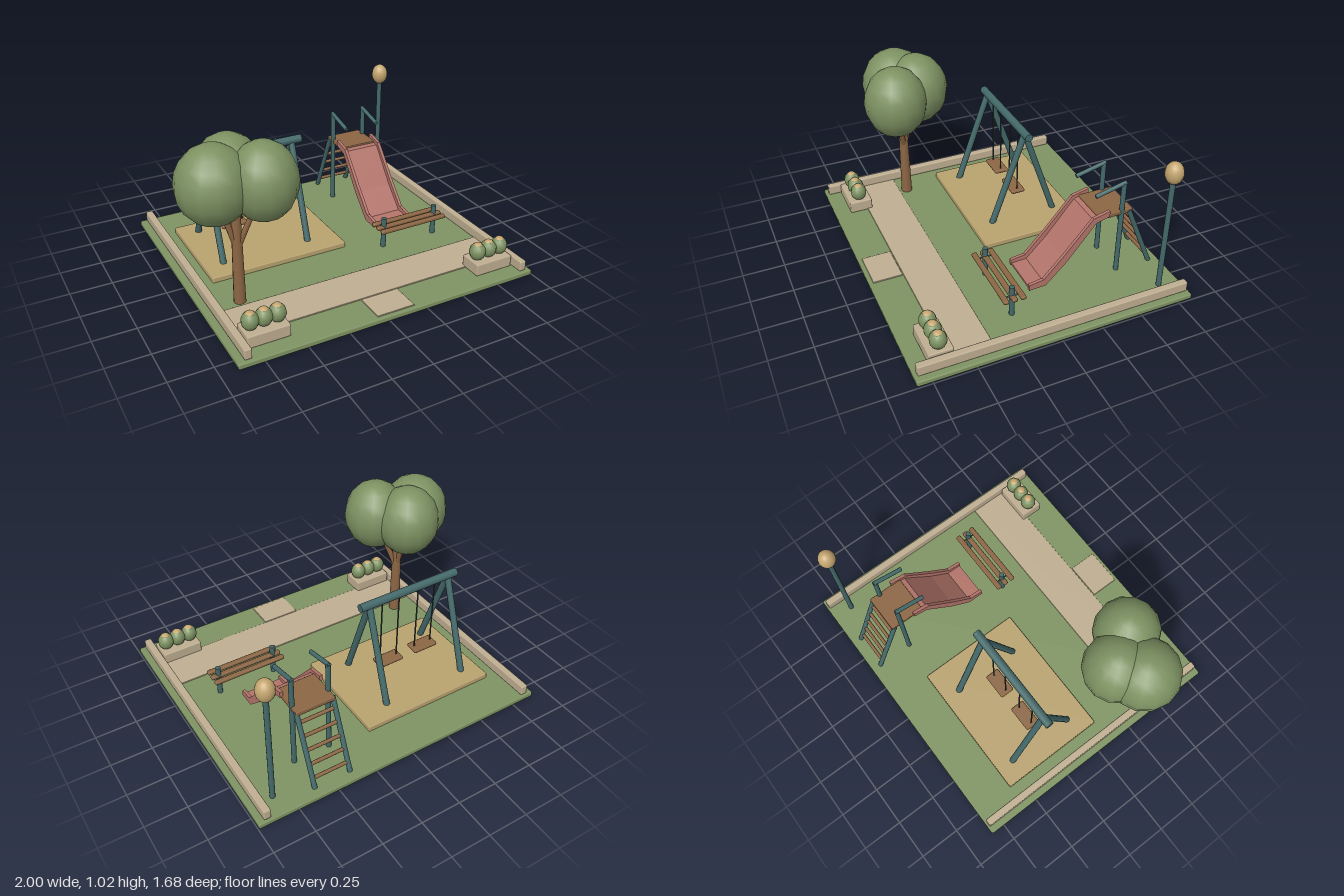
import * as THREE from 'three';
import { RoundedBoxGeometry } from 'three/addons/geometries/RoundedBoxGeometry.js';

const colours = {
  grass: 0x7f9463, foliage: 0x7d9262, paving: 0xbfae91, sand: 0xb9a26f, metal: 0x44696a,
  wood: 0x8c6644, slide: 0xb4756b, lamp: 0xc4a670, rope: 0x39413f,
};

export function createModel() {
  const model = new THREE.Group();
  model.name = 'playground';
  const mats = {};
  for (const [name, color] of Object.entries(colours)) {
    mats[name] = new THREE.MeshStandardMaterial({ color });
    mats[name].name = name;
  }

  const group = (name) => {
    const g = new THREE.Group();
    g.name = name;
    model.add(g);
    return g;
  };
  const add = (parent, name, geometry, mat) => {
    const mesh = new THREE.Mesh(geometry, mats[mat]);
    mesh.name = name;
    parent.add(mesh);
    return mesh;
  };
  // Box given by its min and max corners, with a small bevel
  const block = (parent, name, mat, [x0, y0, z0], [x1, y1, z1], bevel = 0.006) => {
    const geo = new RoundedBoxGeometry(x1 - x0, y1 - y0, z1 - z0, 1, bevel);
    add(parent, name, geo, mat).position.set((x0 + x1) / 2, (y0 + y1) / 2, (z0 + z1) / 2);
  };
  // Round bar between two points
  const bar = (parent, name, mat, a, b, r0, r1 = r0, sides = 12) => {
    const from = new THREE.Vector3(...a), to = new THREE.Vector3(...b);
    const dir = to.clone().sub(from);
    const mesh = add(parent, name, new THREE.CylinderGeometry(r1, r0, dir.length(), sides), mat);
    mesh.position.copy(from).add(to).multiplyScalar(0.5);
    mesh.quaternion.setFromUnitVectors(new THREE.Vector3(0, 1, 0), dir.normalize());
  };
  const ball = (parent, name, mat, [x, y, z], rx, ry, ws = 14, hs = 10) => {
    const mesh = add(parent, name, new THREE.SphereGeometry(1, ws, hs), mat);
    mesh.position.set(x, y, z);
    mesh.scale.set(rx, ry, rx);
  };

  // Ground, paths, sand and kerbs
  const ground = group('ground');
  block(ground, 'lawn', 'grass', [-0.9, 0, -0.838], [0.995, 0.036, 0.838], 0.01);
  block(ground, 'path', 'paving', [-0.83, 0.02, 0.37], [0.925, 0.043, 0.63], 0.003);
  block(ground, 'entrancePath', 'paving', [-0.07, 0.02, 0.635], [0.17, 0.043, 0.815], 0.003);
  block(ground, 'sandPit', 'sand', [-0.745, 0.03, -0.585], [0.14, 0.07, 0.085], 0.008);
  for (const x of [-0.838, 0.937])
    block(ground, 'kerb', 'paving', [x - 0.022, 0.036, -0.825], [x + 0.022, 0.1, 0.82], 0.008);

  // Swing set
  const swing = group('swingSet');
  bar(swing, 'topBeam', 'metal', [-0.685, 0.672, -0.26], [0.003, 0.672, -0.26], 0.026);
  for (const x of [-0.625, -0.06])
    for (const s of [-1, 1])
      bar(swing, 'swingLeg', 'metal', [x, 0.06, -0.26 + s * 0.215], [x, 0.672, -0.26], 0.02);
  for (const x of [-0.47, -0.212]) {
    block(swing, 'swingSeat', 'wood', [x - 0.084, 0.188, -0.307], [x + 0.084, 0.212, -0.215], 0.01);
    for (const s of [-1, 1])
      bar(swing, 'rope', 'rope', [x + s * 0.06, 0.205, -0.26], [x + s * 0.06, 0.66, -0.26], 0.0045, 0.0045, 8);
  }

  // Slide chute: side profiles in (z, y), extruded across x
  const slide = group('slide');
  const low = [[0.035, 0.085], [-0.07, 0.09], [-0.2, 0.22], [-0.375, 0.44], [-0.46, 0.462]];
  const high = [[-0.46, 0.5], [-0.355, 0.475], [-0.185, 0.275], [-0.055, 0.135], [0.035, 0.122]];
  const bedTop = [[-0.4, 0.462], [-0.365, 0.455], [-0.19, 0.235], [-0.064, 0.105], [0.03, 0.1]];
  const bedLow = [[0.03, 0.085], [-0.07, 0.09], [-0.2, 0.22], [-0.375, 0.44], [-0.4, 0.447]];
  const profile = (name, points, centre, width) => {
    const shape = new THREE.Shape(points.map((p) => new THREE.Vector2(...p)));
    const geo = new THREE.ExtrudeGeometry(shape, { depth: width, bevelEnabled: false });
    geo.translate(0, 0, -width / 2).rotateY(-Math.PI / 2).translate(centre, 0, 0);
    add(slide, name, geo, 'slide');
  };
  profile('chuteBed', [...bedLow, ...bedTop], 0.51, 0.24);
  for (const s of [-1, 1]) profile('chuteSide', [...low, ...high], 0.51 + s * 0.124, 0.02);

  // Platform, hand rails and ladder
  block(slide, 'platform', 'wood', [0.39, 0.443, -0.617], [0.632, 0.472, -0.395], 0.006);
  for (const x of [0.395, 0.622]) {
    bar(slide, 'railPost', 'metal', [x, 0.03, -0.55], [x, 0.655, -0.55], 0.015);
    bar(slide, 'handRail', 'metal', [x, 0.656, -0.562], [x, 0.61, -0.37], 0.013);
    bar(slide, 'ladderLeg', 'metal', [x, 0.035, -0.775], [x, 0.46, -0.595], 0.015);
  }
  for (let i = 0; i < 5; i++) {
    const y = 0.09 + i * 0.077, z = -0.752 + i * 0.033;
    bar(slide, 'ladderRung', 'wood', [0.395, y, z], [0.622, y, z], 0.011, 0.011, 10);
  }

  // Bench
  const bench = group('bench');
  for (const z of [0.131, 0.183, 0.235])
    block(bench, 'benchSlat', 'wood', [0.305, 0.157, z - 0.017], [0.775, 0.182, z + 0.017], 0.01);
  for (const x of [0.355, 0.725]) {
    bar(bench, 'benchPost', 'metal', [x, 0.03, 0.183], [x, 0.232, 0.183], 0.016);
    bar(bench, 'benchBrace', 'metal', [x, 0.168, 0.131], [x, 0.168, 0.235], 0.005, 0.005, 8);
  }

  // Lamp
  const lamp = group('lamp');
  bar(lamp, 'lampPost', 'metal', [0.845, 0.03, -0.705], [0.845, 0.77, -0.705], 0.016);
  ball(lamp, 'lampGlobe', 'lamp', [0.845, 0.815, -0.705], 0.053, 0.068, 16, 12);

  // Planters with flowering shrubs
  for (const x of [-0.683, 0.784]) {
    const planter = group('planter');
    block(planter, 'planterBox', 'paving', [x - 0.126, 0.034, 0.597], [x + 0.126, 0.11, 0.742], 0.008);
    for (const i of [-1, 0, 1]) {
      ball(planter, 'shrub', 'foliage', [x + i * 0.079, 0.157, 0.67], 0.05, 0.055, 12, 9);
      ball(planter, 'flower', 'lamp', [x + i * 0.079, 0.2, 0.67], 0.027, 0.016, 10, 8);
    }
  }

  // Tree
  const tree = group('tree');
  bar(tree, 'trunk', 'wood', [-0.675, 0.03, 0.32], [-0.675, 0.66, 0.32], 0.036, 0.026);
  for (const [x, z, r] of [[-0.79, 0.315, 0.21], [-0.668, 0.218, 0.2], [-0.54, 0.395, 0.195]]) {
    const tipX = -0.675 + (x + 0.675) * 0.8, tipZ = 0.32 + (z - 0.32) * 0.8;
    bar(tree, 'branch', 'wood', [-0.675, 0.38, 0.32], [tipX, 0.68, tipZ], 0.019, 0.014, 10);
    ball(tree, 'crown', 'foliage', [x, 0.795, z], r, 0.227);
  }
  return model;
}
